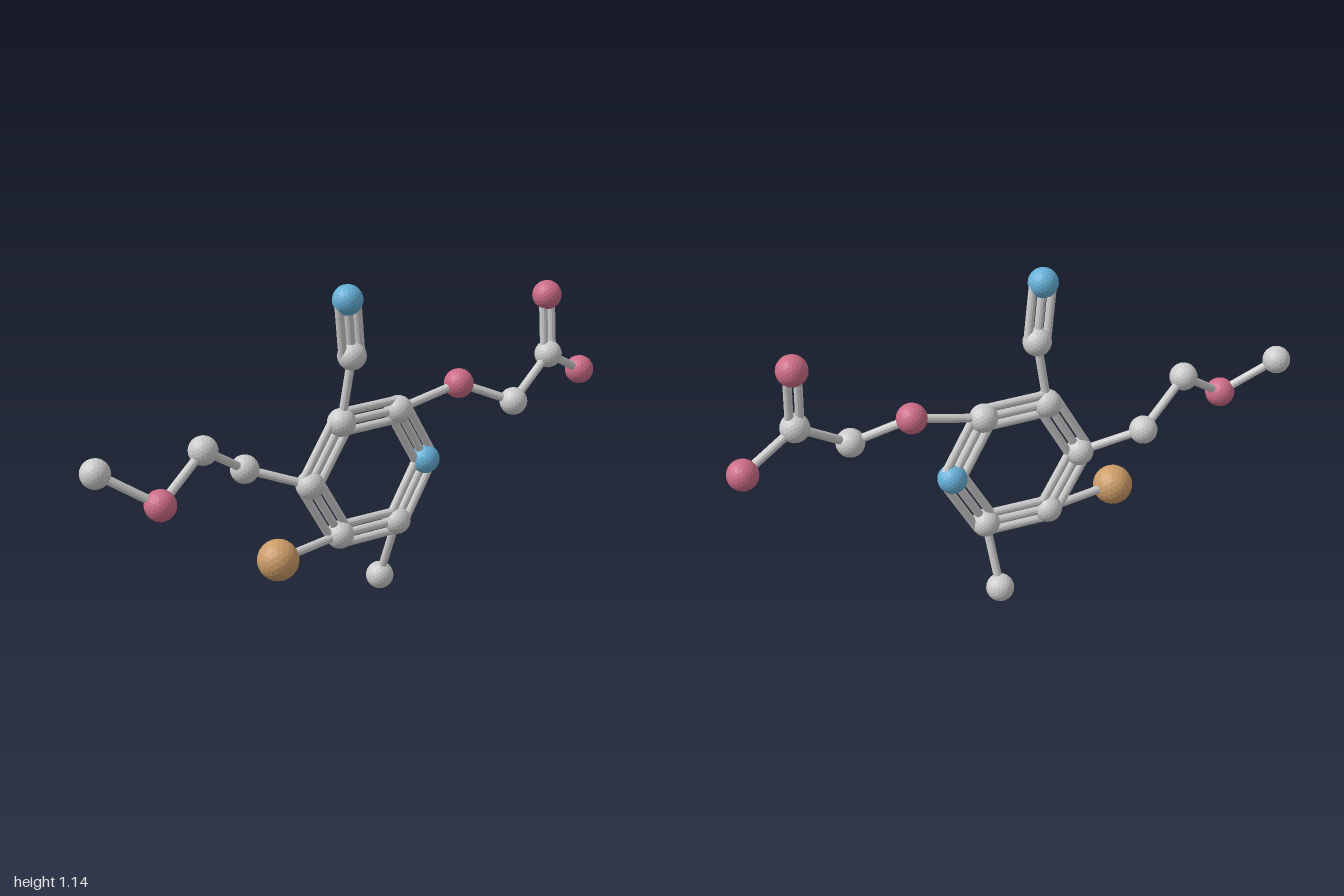
import * as THREE from 'three';

const material = (color) => new THREE.MeshStandardMaterial({ color, flatShading: true });
const grey = material(0xcccccc);
const kinds = {
  carbon: { radius: 0.048, mat: grey },
  nitrogen: { radius: 0.05, mat: material(0x66b0d8) },
  oxygen: { radius: 0.051, mat: material(0xcc6c86) },
  bromine: { radius: 0.069, mat: material(0xcb9c68) },
};

// Atoms: kind and centre
const atoms = {
  ringTopLeft: ['carbon', -0.09, 0.675, 0.01],
  ringTopRight: ['carbon', 0.14, 0.675, 0],
  ringNitrogen: ['nitrogen', 0.255, 0.475, -0.005],
  ringBottomRight: ['carbon', 0.14, 0.275, -0.005],
  ringBottomLeft: ['carbon', -0.09, 0.275, -0.003],
  ringLeft: ['carbon', -0.203, 0.475, -0.005],
  nitrileCarbon: ['carbon', -0.06, 0.9, 0.027],
  nitrileNitrogen: ['nitrogen', -0.09, 1.094, 0.05],
  bromine: ['bromine', -0.363, 0.27, 0.056],
  methyl: ['carbon', 0.118, 0.05, -0.075],
  chainInner: ['carbon', -0.405, 0.55, -0.076],
  chainMiddle: ['carbon', -0.592, 0.675, 0.002],
  chainOxygen: ['oxygen', -0.772, 0.55, 0.058],
  chainEnd: ['carbon', -0.952, 0.67, -0.005],
  etherOxygen: ['oxygen', 0.384, 0.725, 0.005],
  armCarbon: ['carbon', 0.572, 0.645, 0.068],
  acidCarbon: ['carbon', 0.762, 0.77, 0.015],
  acidOxygenTop: ['oxygen', 0.762, 0.978, -0.004],
  acidOxygenSide: ['oxygen', 0.948, 0.67, -0.032],
};

// Bonds: two atoms and the number of parallel rods
const bonds = [
  ['ringTopLeft', 'ringTopRight', 3],
  ['ringTopRight', 'ringNitrogen', 3],
  ['ringNitrogen', 'ringBottomRight', 3],
  ['ringBottomRight', 'ringBottomLeft', 3],
  ['ringBottomLeft', 'ringLeft', 3],
  ['ringLeft', 'ringTopLeft', 3],
  ['ringTopLeft', 'nitrileCarbon', 1],
  ['nitrileCarbon', 'nitrileNitrogen', 3],
  ['ringBottomLeft', 'bromine', 1],
  ['ringBottomRight', 'methyl', 1],
  ['ringLeft', 'chainInner', 1],
  ['chainInner', 'chainMiddle', 1],
  ['chainMiddle', 'chainOxygen', 1],
  ['chainOxygen', 'chainEnd', 1],
  ['ringTopRight', 'etherOxygen', 1],
  ['etherOxygen', 'armCarbon', 1],
  ['armCarbon', 'acidCarbon', 1],
  ['acidCarbon', 'acidOxygenTop', 2],
  ['acidCarbon', 'acidOxygenSide', 1],
];

const ROD_RADIUS = 0.0145;
const ROD_SPACING = 0.034;

const centre = (name) => new THREE.Vector3(...atoms[name].slice(1));

// Parallel rods, spread sideways in the plane of the molecule
function makeBond(from, to, count) {
  const group = new THREE.Group();
  group.name = `${from}To${to[0].toUpperCase()}${to.slice(1)}Bond`;
  const a = centre(from), b = centre(to);
  const dir = b.clone().sub(a);
  const length = dir.length();
  dir.normalize();
  const side = new THREE.Vector3(0, 0, 1).cross(dir).normalize();
  for (let i = 0; i < count; i++) {
    const rod = new THREE.Mesh(new THREE.CylinderGeometry(ROD_RADIUS, ROD_RADIUS, length, 12), grey);
    rod.name = 'rod';
    rod.quaternion.setFromUnitVectors(new THREE.Vector3(0, 1, 0), dir);
    rod.position.copy(a).add(b).multiplyScalar(0.5)
      .addScaledVector(side, (i - (count - 1) / 2) * ROD_SPACING);
    group.add(rod);
  }
  return group;
}

export function createModel() {
  const model = new THREE.Group();
  model.name = 'molecule';

  // Faceted balls
  for (const [name, [kind]] of Object.entries(atoms)) {
    const { radius, mat } = kinds[kind];
    const ball = new THREE.Mesh(new THREE.IcosahedronGeometry(radius, 3), mat);
    ball.name = name;
    ball.position.copy(centre(name));
    model.add(ball);
  }

  // Connecting rods
  for (const bond of bonds) model.add(makeBond(...bond));
  return model;
}
